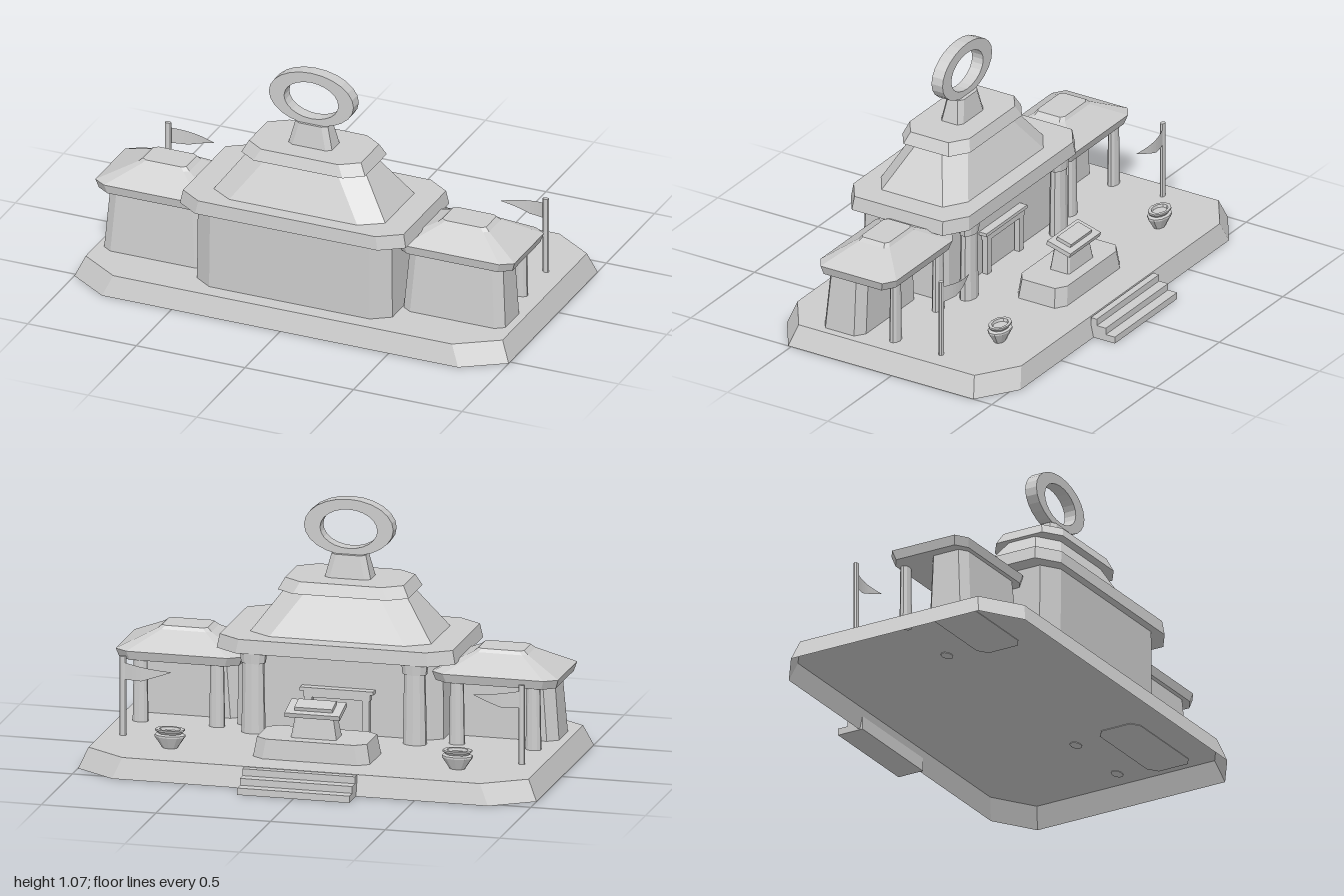
import * as THREE from 'three';

const stone = new THREE.MeshStandardMaterial({ color: 0xcccccc });
stone.name = 'stoneGrey';
stone.flatShading = true;
stone.side = THREE.DoubleSide;

// Chamfered block from levels [y, halfX, halfZ, centreZ, chamferScale], chamfer (cx, cz)
function loft(levels, cx, cz, { cxBack = cx, czBack = cz, openBottom = false } = {}) {
  const rings = levels.map(([y, hx, hz, z0, s = 1]) => [
    [hx, hz - cz * s], [hx, -hz + czBack * s], [hx - cxBack * s, -hz], [-hx + cxBack * s, -hz],
    [-hx, -hz + czBack * s], [-hx, hz - cz * s], [-hx + cx * s, hz], [hx - cx * s, hz],
  ].map(([x, z]) => [x, y, z + z0]));
  const pos = [];
  const tri = (a, b, c) => pos.push(...a, ...b, ...c);
  for (let k = 0; k < rings.length - 1; k++) {
    const lo = rings[k], hi = rings[k + 1];
    for (let i = 0; i < 8; i++) {
      const j = (i + 1) % 8;
      tri(lo[i], lo[j], hi[j]);
      tri(lo[i], hi[j], hi[i]);
    }
  }
  const bottom = rings[0], top = rings[rings.length - 1];
  for (let i = 1; i < 7; i++) {
    if (!openBottom) tri(bottom[0], bottom[i + 1], bottom[i]);
    tri(top[0], top[i], top[i + 1]);
  }
  const g = new THREE.BufferGeometry();
  g.setAttribute('position', new THREE.Float32BufferAttribute(pos, 3));
  g.computeVertexNormals();
  return g;
}

function add(parent, name, geo, x = 0, y = 0, z = 0) {
  const m = new THREE.Mesh(geo, stone);
  m.name = name;
  m.position.set(x, y, z);
  parent.add(m);
}

const box = (w, h, d) => new THREE.BoxGeometry(w, h, d);

// Oval upright, wider in x than in z
const post = (rTop, rBottom, h, sides = 10) =>
  new THREE.CylinderGeometry(rTop, rBottom, h, sides).scale(1.5, 1, 1);

function wing(side) {
  const g = new THREE.Group();
  g.name = side > 0 ? 'leftWing' : 'rightWing';
  g.position.set(side * 0.69, 0, 0);
  add(g, 'wingWall', loft([[0.087, 0.234, 0.101, 0.304], [0.37, 0.214, 0.09, 0.294]], 0.04, 0.027, { cxBack: 0.045, czBack: 0.032 }));
  add(g, 'wingRoof', loft([
    [0.36, 0.262, 0.18, 0.224], [0.4, 0.275, 0.19, 0.222],
    [0.475, 0.118, 0.077, 0.222, 0.4], [0.49, 0.1, 0.067, 0.222, 0.35],
  ], 0.055, 0.036));
  for (const s of [-1, 1]) add(g, 'wingColumn', post(0.02, 0.023, 0.283), s * 0.167, 0.2285, 0.07);
  return g;
}

function flagPole(side) {
  const g = new THREE.Group();
  g.name = 'flagPole';
  g.position.set(side * 0.87, 0, -0.166);
  add(g, 'pole', post(0.01, 0.01, 0.345, 8), 0, 0.2625, 0);
  // Waving pennant: full height near the pole, then narrowing to a point
  const pennant = new THREE.PlaneGeometry(0.21, 0.075, 10, 1);
  const p = pennant.attributes.position;
  for (let i = 0; i < p.count; i++) {
    const t = p.getX(i) / 0.21 + 0.5;
    const upper = 0.037 - 0.03 * t;
    const lower = -0.037 + 0.042 * Math.max(0, (t - 0.4) / 0.6);
    p.setXYZ(i, -side * t * 0.21, p.getY(i) > 0 ? upper : lower, -0.004 - 0.018 * Math.sin(t * Math.PI));
  }
  pennant.computeVertexNormals();
  add(g, 'pennant', pennant, 0, 0.373, 0);
  return g;
}

function urn() {
  const pts = [[0, 0.09], [0.022, 0.09], [0.045, 0.14], [0.045, 0.148], [0.034, 0.153],
    [0.043, 0.165], [0.043, 0.172], [0.031, 0.172], [0.028, 0.16], [0, 0.16]];
  return new THREE.LatheGeometry(pts.map(([x, y]) => new THREE.Vector2(x, y)), 10).scale(1.5, 1, 1);
}

export function createModel() {
  const model = new THREE.Group();
  model.name = 'temple';

  // Platform shell, hollow underneath, and back steps
  add(model, 'platform', loft([[0, 1, 0.582, 0.053], [0.09, 0.96, 0.558, 0.05]], 0.18, 0.12, { openBottom: true }));
  [0.635, 0.59, 0.545].forEach((z, i) => {
    add(model, 'step', box(0.49, 0.03, z - 0.515), 0, 0.015 + i * 0.03, -(z + 0.515) / 2);
  });

  // Main hall and stacked roof
  const hall = new THREE.Group();
  hall.name = 'mainHall';
  model.add(hall);
  add(hall, 'hallWall', loft([[0.09, 0.45, 0.221, 0.316], [0.45, 0.446, 0.22, 0.316]], 0.08, 0.055, { cxBack: 0.05, czBack: 0.032, openBottom: true }));
  add(hall, 'roofSlab', loft([[0.44, 0.52, 0.294, 0.276], [0.5, 0.508, 0.288, 0.276]], 0.1, 0.068));
  add(hall, 'slopedRoof', loft([[0.5, 0.395, 0.217, 0.281], [0.68, 0.262, 0.13, 0.281]], 0.1, 0.065));
  add(hall, 'roofCap', loft([[0.68, 0.285, 0.168, 0.281], [0.73, 0.258, 0.149, 0.281]], 0.08, 0.055));
  add(hall, 'finialBase', loft([[0.73, 0.1, 0.055, 0.281], [0.83, 0.075, 0.041, 0.281]], 0.024, 0.016));

  // Oval ring finial
  const ring = new THREE.Shape();
  ring.absellipse(0, 0.947, 0.195, 0.123, 0, Math.PI * 2);
  const hole = new THREE.Path();
  hole.absellipse(0, 0.94, 0.125, 0.085, 0, Math.PI * 2, true);
  ring.holes.push(hole);
  add(hall, 'ringFinial', new THREE.ExtrudeGeometry(ring, { depth: 0.055, bevelEnabled: false, curveSegments: 12 }), 0, 0, 0.256);

  // Porch columns and doorway
  for (const s of [-1, 1]) {
    add(hall, 'porchColumn', post(0.031, 0.035, 0.31), s * 0.352, 0.245, 0.024);
    add(hall, 'columnCapital', post(0.039, 0.036, 0.045), s * 0.352, 0.418, 0.024);
    add(hall, 'doorPost', box(0.032, 0.16, 0.025), s * 0.125, 0.17, 0.078);
  }
  add(hall, 'doorLintel', box(0.29, 0.028, 0.03), 0, 0.263, 0.078);
  add(hall, 'doorLintelTop', box(0.32, 0.015, 0.04), 0, 0.284, 0.078);

  // Altar with a tilted tablet
  const altar = new THREE.Group();
  altar.name = 'altar';
  model.add(altar);
  add(altar, 'altarPlinth', loft([[0.09, 0.255, 0.122, -0.251], [0.175, 0.24, 0.114, -0.251]], 0.048, 0.032, { openBottom: true }));
  add(altar, 'altarStand', loft([[0.17, 0.1, 0.05, -0.264], [0.283, 0.08, 0.038, -0.264]], 0.01, 0.007));
  const desk = new THREE.Group();
  desk.name = 'tiltedTop';
  desk.position.set(0, 0.293, -0.274);
  desk.rotation.x = -0.27;
  altar.add(desk);
  add(desk, 'tabletSlab', box(0.24, 0.02, 0.12));
  add(desk, 'tablet', box(0.165, 0.016, 0.072), 0, 0.018, 0.002);

  // Mirrored wings, flags and urns
  for (const s of [-1, 1]) {
    model.add(wing(s), flagPole(s));
    add(model, 'urn', urn(), s * 0.627, 0, -0.305);
  }
  return model;
}
